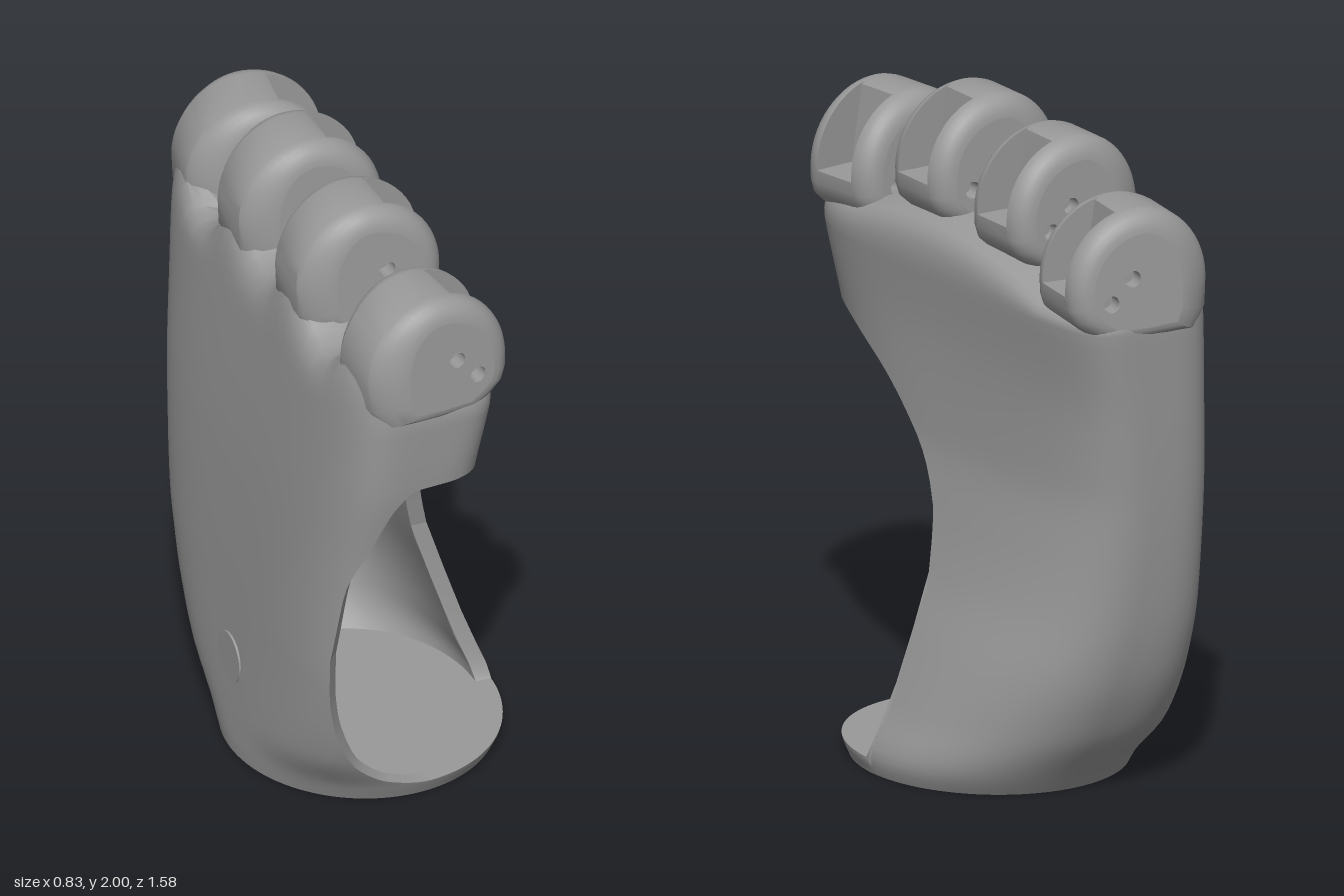
import * as THREE from 'three';
import { mergeGeometries, toCreasedNormals } from 'three/addons/utils/BufferGeometryUtils.js';

const rad = Math.PI / 180, { lerp, clamp, smoothstep } = THREE.MathUtils;

// Smooth interpolation through [x, y] pairs, without overshoot
function curve(pts) {
  const sec = i => (pts[i + 1][1] - pts[i][1]) / (pts[i + 1][0] - pts[i][0]);
  const slope = i => {
    if (i === 0 || i === pts.length - 1) return sec(i === 0 ? 0 : i - 1);
    const a = sec(i - 1), b = sec(i);
    return a * b <= 0 ? 0 : 2 * a * b / (a + b);
  };
  return x => {
    x = clamp(x, pts[0][0], pts[pts.length - 1][0]);
    let i = 0;
    while (i < pts.length - 2 && x > pts[i + 1][0]) i++;
    const h = pts[i + 1][0] - pts[i][0], t = (x - pts[i][0]) / h, u = 1 - t;
    return pts[i][1] * (1 + 2 * t) * u * u + pts[i + 1][1] * t * t * (3 - 2 * t)
      + h * t * u * (slope(i) * u - slope(i + 1) * t);
  };
}

// Grid of quads from f(i, j) -> [x, y, z]
function grid(nu, nv, f, flip = false) {
  const pos = [], idx = [];
  for (let j = 0; j < nv; j++) for (let i = 0; i < nu; i++) pos.push(...f(i, j));
  for (let j = 0; j < nv - 1; j++) for (let i = 0; i < nu - 1; i++) {
    const a = j * nu + i, b = a + nu, c = a + 1, d = b + 1;
    idx.push(...(flip ? [a, c, b, c, d, b] : [a, b, c, c, b, d]));
  }
  const g = new THREE.BufferGeometry();
  g.setAttribute('position', new THREE.Float32BufferAttribute(pos, 3));
  g.setIndex(idx);
  return g;
}

// Palm cross-section by height, boxier on the back of the hand
const xMin = curve([[0, -.415], [.05, -.42], [.5, -.41], [1, -.39], [1.4, -.36], [1.65, -.335]]);
const xMax = curve([[0, .4], [.05, .415], [.2, .365], [.4, .3], [.6, .235], [.8, .19], [1, .158], [1.27, .15], [1.6, .168]]);
const zMin = curve([[0, -.43], [.05, -.465], [.2, -.57], [.4, -.65], [.6, -.69], [1, -.735], [1.4, -.765], [1.6, -.778]]);
const zMax = curve([[0, .45], [.05, .475], [.2, .535], [.4, .59], [.6, .63], [1, .69], [1.27, .745], [1.6, .778]]);
const frontPower = curve([[0, 2], [.3, 2.2], [.8, 2.6], [1.2, 3.6], [1.5, 5.5]]);
const backPower = curve([[0, 2], [.05, 2.1], [.2, 3], [.4, 3.6], [.6, 4], [1.2, 4.2], [1.6, 4.8]]);

function wall(deg, y, inset = 0) {
  const c = Math.cos(deg * rad), s = Math.sin(deg * rad), n = (c > 0 ? frontPower : backPower)(y);
  const r = (Math.abs(c) ** n + Math.abs(s) ** n) ** (-1 / n);
  const a = xMin(y) + inset, b = xMax(y) - inset, d = zMin(y) + inset, e = zMax(y) - inset;
  return [(a + b) / 2 + (b - a) / 2 * c * r, y, (d + e) / 2 + (e - d) / 2 * s * r];
}

// Upper and lower edges of the thumb opening by angle; they meet beyond it
const MEET = .61, END = 131;
const edgeTop = curve([[0, MEET], [3.4, .8], [18, 1.03], [31, 1.165], [46, 1.255], [62, 1.275], [95, 1.27], [108, 1.21], [120, 1.03], [127, .9], [END, MEET]]);
const edgeLow = curve([[0, MEET], [1.5, .1], [3.4, .05], [85, .05], [104, .08], [116.5, .15], [126, .3], [130, .45], [END, MEET]]);
const angles = [0, .4, .8, 1.2, 1.5, 2.5, 3.4];
for (let d = 6; d <= 125; d += 2.5) angles.push(d);
angles.push(126, 127, 128, 129, 129.7, 130.3, 130.7);
for (let d = END; d < 360; d += 4) angles.push(d);
angles.push(360);
const NA = angles.length;
const THICK = .05, FLOOR = .05, ROWS = 22;

function panel(low, high, inset, flip) {
  return grid(NA, ROWS, (i, j) => {
    const d = angles[i];
    return wall(d, lerp(low(d), high(d), j / (ROWS - 1)), inset);
  }, flip);
}

// Rings given as [height, inset], the last one closing to the middle
function cap(rings, flip, bend = () => 0) {
  return grid(NA, rings.length + 1, (i, j) => {
    const last = j === rings.length, [y, inset] = rings[Math.min(j, rings.length - 1)];
    const p = wall(angles[i], y, inset);
    if (last) { p[0] = (xMin(y) + xMax(y)) / 2; p[2] *= .9; }
    p[1] += bend(...p);
    return p;
  }, flip);
}

function rim(edge, flip) {
  const open = angles.filter(d => d <= END);
  return grid(open.length, 2, (i, j) => wall(open[i], edge(open[i]), j * THICK), flip);
}

// Knuckles: name, x, z, top, half width, turn
const KNUCKLES = [['firstKnuckle', 0, .615, 1.91, .148, .12], ['secondKnuckle', -.03, .213, 2, .14, 0],
  ['thirdKnuckle', -.03, -.215, 1.98, .14, 0], ['fourthKnuckle', 0, -.615, 1.87, .148, -.14]];

// Shoulder relief: webs fall towards both sides and rise up the back of each finger
function shoulder(x, y, z) {
  const web = clamp(z, -.5, .5), zc = clamp(z, -.615, .615);
  const rise = KNUCKLES.reduce((s, k) => s + Math.exp(-(((zc - k[2]) / .1) ** 2)), 0);
  return Math.max(0, (y - 1.5) / .14) * (.025 - .3 * web * web + .06 * web + .17 * rise * smoothstep(-x, .1, .28));
}

// Closed finger profile: back, dome, palm side, lip; optionally with a slot
function fingerProfile(top, slotted) {
  const p = [[-.1, top - .4], [-.27, top - .39], [-.305, top - .33]], N = 28;
  const floor = top - .25, slotTop = -.01, slotX = .025;
  let arc = [];
  for (let i = 0; i <= N; i++) {
    const a = Math.PI * (1 - i / N);
    arc.push([-.075 + .235 * Math.cos(a), top - .24 + .24 * Math.sin(a)]);
  }
  if (slotted) {
    const s = arc.findIndex(q => q[0] > slotTop), m = N - s, h = m >> 1, y0 = arc[s][1];
    arc = arc.map((q, i) => {
      const k = i - s;
      if (k < 0) return q;
      return k <= h ? [lerp(slotTop, slotX, k / h), lerp(y0, floor, k / h)]
        : [lerp(slotX, .16, (k - h) / (m - h)), floor];
    });
  }
  p.push(...arc, [.158, top - .29], [.145, top - .33], [.1, top - .37], [.05, top - .4], [-.1, top - .4]);
  return p;
}

function finger(mat, name, x, z, top, half, turn) {
  const g = new THREE.Group();
  g.name = name;
  const full = fingerProfile(top, false), notch = fingerProfile(top, true);
  const R = .065, SLOT = .078, cx = -.075, cy = top - .24;
  // Round the side edges, and taper the back in plan and the width towards the top
  const shrink = (p, inset, d) => {
    const k = 1 - inset / .235, t = p[0] < cx ? 1 - .3 * (Math.abs(d) / half) ** 3 : 1;
    return [cx + (p[0] - cx) * k * t, cy + (p[1] - cy) * k];
  };
  const widen = (d, y) => d * (1 + .3 * (top - .2 - y));
  // Slices across the finger: rounded side, slot, rounded side
  const side = [];
  for (let i = 0; i <= 6; i++) {
    const a = i / 6 * Math.PI / 2;
    side.push([half - R + R * Math.sin(a), R * (1 - Math.cos(a)), full]);
  }
  const mid = [[-SLOT, full], [-SLOT, notch], [SLOT, notch], [SLOT, full]].map(([d, p]) => [d, 0, p]);
  const outer = side.filter(s => s[0] > SLOT);
  const slices = [...outer.map(([d, s, p]) => [-d, s, p]).reverse(), ...mid, ...outer];
  const body = new THREE.Mesh(toCreasedNormals(grid(full.length, slices.length, (i, j) => {
    const [d, inset, p] = slices[j], [px, py] = shrink(p[i], inset, d);
    return [px, py, widen(d, py)];
  }), .6), mat);
  body.name = 'knuckle';
  g.add(body);

  // Flat sides with two pin holes each
  const pins = [[-.03, top - .2], [.04, top - .27]], r = .026, depth = .05;
  const shape = new THREE.Shape(full.slice(0, -1).map(p => new THREE.Vector2(...shrink(p, R, half))));
  for (const [px, py] of pins) shape.holes.push(new THREE.Path().absarc(px, py, r, 0, Math.PI * 2));
  for (const s of [-1, 1]) {
    const flat = new THREE.ShapeGeometry(shape, 10), pos = flat.attributes.position;
    for (let i = 0; i < pos.count; i++) pos.setZ(i, widen(s * half, pos.getY(i)));
    flat.computeVertexNormals();
    const face = new THREE.Mesh(flat, mat);
    face.name = 'knuckleSide';
    g.add(face);
    for (const [px, py] of pins) {
      const bore = new THREE.Mesh(new THREE.CylinderGeometry(r, r, depth, 20, 1, true), mat);
      bore.name = 'pinHole';
      bore.rotation.x = Math.PI / 2;
      bore.position.set(px, py, s * (half - depth / 2));
      const end = new THREE.Mesh(new THREE.CircleGeometry(r, 20), mat);
      end.name = 'pinHoleEnd';
      end.position.set(px, py, s * (half - depth));
      g.add(bore, end);
    }
  }
  g.position.set(x, 0, z);
  g.rotation.y = turn;
  return g;
}

export function createModel() {
  const model = new THREE.Group();
  model.name = 'palmShell';
  const grey = new THREE.MeshStandardMaterial({ color: 0x999999, side: THREE.DoubleSide });
  grey.name = 'grey';
  const add = (name, geo) => {
    const m = new THREE.Mesh(geo, grey);
    m.name = name;
    model.add(m);
    return m;
  };

  // Outer palm with shoulders between and behind the fingers
  add('outerPalm', toCreasedNormals(mergeGeometries([
    panel(() => 0, edgeLow, 0), panel(edgeTop, () => 1.5, 0),
    cap([[1.5, 0], [1.53, .002], [1.56, .008], [1.59, .022], [1.61, .045], [1.63, .1], [1.64, .18]], false, shoulder)]), .8));
  add('base', toCreasedNormals(cap([[0, 0]], true), .5));

  // Hollow inside
  add('innerPalm', toCreasedNormals(mergeGeometries([
    panel(() => FLOOR, edgeLow, THICK, true), panel(edgeTop, () => 1.42, THICK, true),
    cap([[1.42, THICK], [1.45, .09], [1.46, .18]], true)]), .7));
  add('innerFloor', toCreasedNormals(cap([[FLOOR, THICK]], false), .5));
  add('openingTopRim', toCreasedNormals(rim(edgeTop, true), .6));
  add('openingLowerRim', toCreasedNormals(rim(edgeLow, false), .6));

  // Round boss inside the back wall and its small cap outside
  const boss = add('strapBoss', new THREE.CylinderGeometry(.18, .18, .05, 48));
  boss.rotation.z = Math.PI / 2;
  boss.position.set(-.345, .32, 0);
  const button = add('strapButton', new THREE.CylinderGeometry(.08, .08, .02, 40));
  button.rotation.z = Math.PI / 2;
  button.position.set(-.41, .32, 0);

  for (const k of KNUCKLES) model.add(finger(grey, ...k));
  return model;
}
